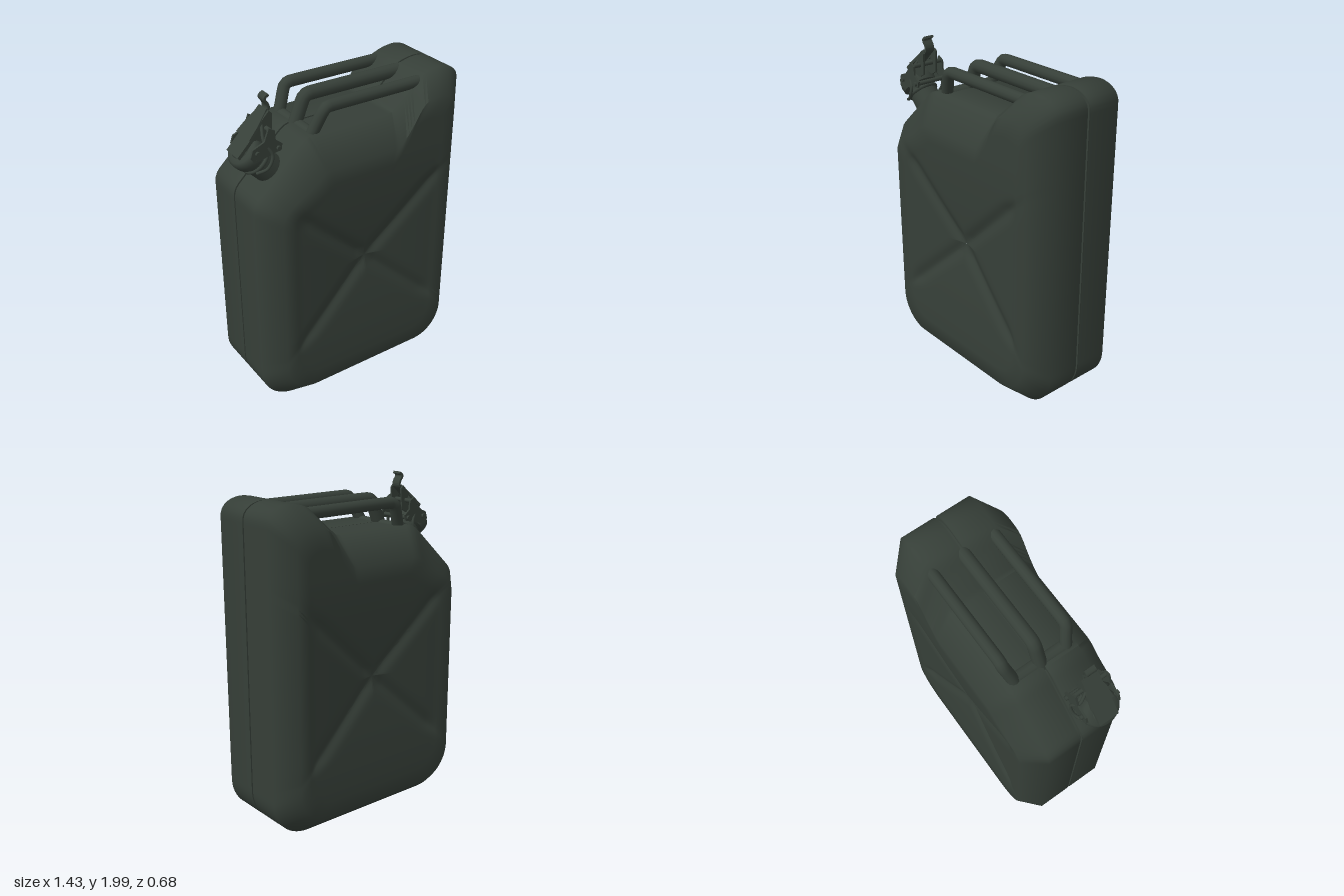
import * as THREE from 'three';
import { toCreasedNormals } from 'three/addons/utils/BufferGeometryUtils.js';

const green = new THREE.MeshStandardMaterial({ color: 0x363f38 });
green.name = 'dark olive green';
const V = (x, y, z) => new THREE.Vector3(x, y, z);
const { smoothstep } = THREE.MathUtils;
const CX = 0.035, CY = 0.88; // centre of the pressed cross

function add(parent, name, geometry, x = 0, y = 0, z = 0) {
  const mesh = new THREE.Mesh(geometry, green);
  mesh.name = name;
  mesh.position.set(x, y, z);
  parent.add(mesh);
  return mesh;
}

const tube = (points, radius, tension = 0.1) => new THREE.TubeGeometry(
  new THREE.CatmullRomCurve3(points, false, 'catmullrom', tension), 40, radius, 12);

// Side outline of the can, counter-clockwise
function outline() {
  const s = new THREE.Shape();
  s.moveTo(-0.42, 0.005);
  s.lineTo(0.48, 0.005);
  s.bezierCurveTo(0.61, 0.005, 0.715, 0.11, 0.715, 0.24);
  s.lineTo(0.715, 1.84);
  s.bezierCurveTo(0.71, 1.9, 0.64, 1.93, 0.58, 1.932);
  s.quadraticCurveTo(0.52, 1.93, 0.46, 1.91);
  s.quadraticCurveTo(0.42, 1.885, 0.39, 1.85);
  s.lineTo(0.25, 1.73);
  s.lineTo(-0.3, 1.73);
  s.quadraticCurveTo(-0.33, 1.725, -0.36, 1.7);
  s.lineTo(-0.62, 1.455);
  s.quadraticCurveTo(-0.66, 1.42, -0.66, 1.37);
  s.lineTo(-0.66, 0.24);
  s.bezierCurveTo(-0.66, 0.11, -0.55, 0.005, -0.42, 0.005);
  return s.getSpacedPoints(220).slice(0, -1);
}

// Depth of the pressed cross at a point on the side panel
function dent(x, y, k) {
  const dx = Math.abs(x - CX) / 0.52, dy = Math.abs(y - CY) / 0.48;
  const r = Math.max(dx, dy, 0.13);
  const fade = smoothstep(1 - k, 0, 0.2);
  const bowl = 0.055 * Math.max(0, 1 - r / 1.35) ** 1.6;
  const groove = 0.018 * Math.exp(-(((dx - dy) / 0.12) ** 2)) * (1 - smoothstep(r, 0.8, 1.05));
  return (bowl + groove) * fade;
}

// Shell lofted through rings from the back panel to the front panel
function bodyGeometry() {
  const pts = outline(), n = pts.length;
  const half = []; // rings of the front half, from seam to centre
  const ring = (inset, z, k = 1) => pts.map((p) => {
    // the panel below the handles rolls over more widely than the other edges
    const roll = (1 - smoothstep(p.x, 0.28, 0.5)) * smoothstep(p.y, 1.45, 1.7) * 0.07 * inset / 0.11;
    const x = CX + (p.x - CX) * (1 - inset / 0.69) * k;
    const y = CY + ((p.y - CY) * (1 - inset / 0.95) - roll) * k;
    return [x, y, z - (k < 1 ? dent(x, y, k) : 0)];
  });
  half.push(ring(0.016, 0.005), ring(0.002, 0.006), ring(0, 0.012), ring(0, 0.22), ring(0.11, 0.34));
  const steps = 40;
  for (let i = 0; i <= steps; i++) half.push(ring(0.11, 0.34, Math.max(0.87 * (1 - i / steps), 0.001)));
  const back = half.map((r) => r.map(([x, y, z]) => [x, y, -z])).reverse();
  const rings = [...back, ...half];
  const index = [];
  for (let i = 0; i < rings.length - 1; i++) {
    for (let j = 0; j < n; j++) {
      const a = i * n + j, b = i * n + (j + 1) % n;
      index.push(a, b, b + n, a, b + n, a + n);
    }
  }
  const g = new THREE.BufferGeometry();
  g.setAttribute('position', new THREE.Float32BufferAttribute(rings.flat(2), 3));
  g.setIndex(index);
  return toCreasedNormals(g, 1.0);
}

// Three carrying bars, bent down at the spout end
function buildHandles() {
  const group = new THREE.Group();
  group.name = 'handles';
  for (const side of [-1, 0, 1]) {
    const z = side * 0.2;
    add(group, 'handleBar', tube([
      V(-0.265, 1.69, side * 0.165), V(-0.235, 1.765, side * 0.18), V(-0.2, 1.848, z),
      V(-0.175, 1.867, z), V(-0.13, 1.87, z), V(0.2, 1.868, z), V(0.5, 1.866, z),
    ], side ? 0.035 : 0.04, 0.35));
  }
  // Low pressed rib joining the three feet
  const rib = add(group, 'handleFootRib', new THREE.CapsuleGeometry(0.04, 0.32, 4, 12), -0.25, 1.705, 0);
  rib.rotation.x = Math.PI / 2;
  return group;
}

// Flat plate centred on its thickness
function plate(points, thickness) {
  const g = new THREE.ExtrudeGeometry(
    new THREE.Shape(points.map(([x, y]) => new THREE.Vector2(x, y))),
    { depth: thickness, bevelEnabled: false });
  return g.translate(0, 0, -thickness / 2);
}

// Neck, cap and clamp lever; local y runs along the neck
function buildSpout() {
  const spout = new THREE.Group();
  spout.name = 'spout';
  spout.position.set(-0.47, 1.53, 0.11);
  spout.rotation.z = Math.PI / 4;

  add(spout, 'neck', new THREE.CylinderGeometry(0.082, 0.087, 0.24, 28), 0, 0.08, 0);
  add(spout, 'neckCollar', new THREE.TorusGeometry(0.083, 0.012, 8, 28).rotateX(Math.PI / 2), 0, 0.15, 0);
  const profile = [[0, 0.18], [0.09, 0.18], [0.108, 0.19], [0.112, 0.22], [0.108, 0.25],
    [0.095, 0.264], [0.065, 0.268], [0.055, 0.28], [0, 0.284]];
  const cap = add(spout, 'cap', toCreasedNormals(
    new THREE.LatheGeometry(profile.map(([x, y]) => new THREE.Vector2(x, y)), 28), 0.7));
  cap.scale.x = 0.9;

  // Clamp cheeks, lever webs and locking wires on both sides
  for (const s of [-1, 1]) {
    add(spout, 'clampCheek', plate([[-0.02, 0.22], [0.06, 0.17], [0.12, 0.13], [0.15, 0.15],
      [0.145, 0.2], [0.18, 0.24], [0.17, 0.28], [0.1, 0.25], [0.03, 0.28], [-0.01, 0.26]], 0.012), 0, 0, s * 0.105);
    add(spout, 'leverWeb', plate([[0.06, 0.28], [0.11, 0.2], [0.15, 0.19], [0.2, 0.235],
      [0.245, 0.275], [0.245, 0.3], [0.06, 0.3]], 0.012), 0, 0, s * 0.045);
    add(spout, 'lockWire', tube([V(-0.06, 0.15, s * 0.085), V(0, 0.13, s * 0.112),
      V(0.07, 0.16, s * 0.115), V(0.1, 0.24, s * 0.09), V(0.17, 0.285, s * 0.04)], 0.009, 0.5));
  }
  for (const [x, y, len] of [[0.12, 0.155, 0.25], [0.03, 0.245, 0.25], [0.165, 0.25, 0.22]]) {
    add(spout, 'hingePin', new THREE.CylinderGeometry(0.013, 0.013, len, 12).rotateX(Math.PI / 2), x, y, 0);
  }

  // Bridge over the cap and tapering thumb lever
  add(spout, 'capBridge', new THREE.BoxGeometry(0.12, 0.02, 0.12), 0.01, 0.282, 0);
  const lever = new THREE.Shape();
  lever.moveTo(0.06, -0.07);
  lever.lineTo(0.14, -0.06);
  lever.lineTo(0.245, -0.032);
  lever.lineTo(0.245, 0.032);
  lever.lineTo(0.14, 0.06);
  lever.lineTo(0.06, 0.07);
  add(spout, 'lever', new THREE.ExtrudeGeometry(lever, { depth: 0.016, bevelEnabled: false })
    .rotateX(Math.PI / 2), 0, 0.305, 0);

  // Curled thumb tab: a thin strip swept along a curve
  const curl = new THREE.SplineCurve([[0.2, 0.298], [0.245, 0.297], [0.262, 0.315], [0.268, 0.345],
    [0.285, 0.358], [0.312, 0.352]].map(([x, y]) => new THREE.Vector2(x, y))).getPoints(20);
  const edge = curl.map((p, i) => {
    const t = curl[Math.min(i + 1, 20)].clone().sub(curl[Math.max(i - 1, 0)]).normalize();
    return [p.x + t.y * 0.014, p.y - t.x * 0.014];
  });
  add(spout, 'thumbTab', plate([...edge, ...curl.map((p) => [p.x, p.y]).reverse()], 0.06));
  return spout;
}

export function createModel() {
  const model = new THREE.Group();
  model.name = 'fuelCan';
  add(model, 'body', bodyGeometry());
  model.add(buildHandles(), buildSpout());
  return model;
}
